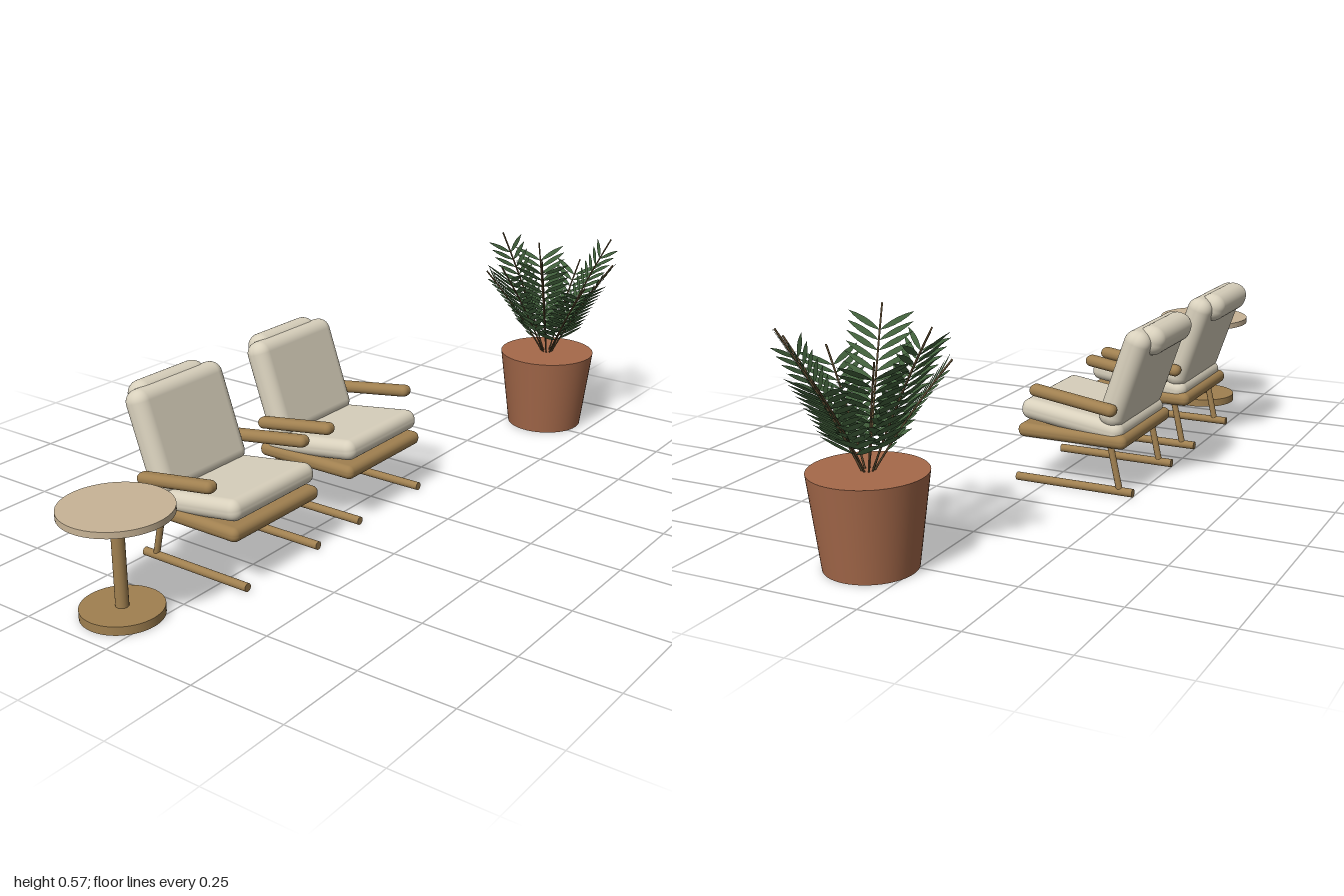
import * as THREE from 'three';
import { RoundedBoxGeometry } from 'three/addons/geometries/RoundedBoxGeometry.js';
import { mergeGeometries } from 'three/addons/utils/BufferGeometryUtils.js';

const paint = (color, side = THREE.FrontSide) => new THREE.MeshStandardMaterial({ color, side });
const wood = paint(0xa08050);
const tableWood = paint(0xc8b496);
const fabric = paint(0xd8d0bc);
const clay = paint(0xa5694a);
const stemBrown = paint(0x5c4a30);
const leafGreen = paint(0x42613c, THREE.DoubleSide);

function add(parent, name, geometry, material, x = 0, y = 0, z = 0, tilt = 0) {
  const mesh = new THREE.Mesh(geometry, material);
  mesh.name = name;
  mesh.position.set(x, y, z);
  mesh.rotation.x = tilt;
  parent.add(mesh);
  return mesh;
}

// Round rod between two points
function rod(parent, name, a, b, radius, material) {
  const from = new THREE.Vector3(...a), to = new THREE.Vector3(...b);
  const dir = to.clone().sub(from);
  const mid = from.add(to).multiplyScalar(0.5);
  const mesh = add(parent, name, new THREE.CylinderGeometry(radius, radius, dir.length(), 16), material, mid.x, mid.y, mid.z);
  mesh.quaternion.setFromUnitVectors(new THREE.Vector3(0, 1, 0), dir.normalize());
}

function createTable() {
  const table = new THREE.Group();
  table.name = 'sideTable';
  add(table, 'tableTop', new THREE.CylinderGeometry(0.135, 0.135, 0.016, 48), tableWood, 0, 0.264, 0);
  add(table, 'tableColumn', new THREE.CylinderGeometry(0.016, 0.016, 0.236, 24), wood, 0, 0.138, 0);
  add(table, 'tableBase', new THREE.CylinderGeometry(0.1, 0.1, 0.022, 48), wood, 0, 0.011, 0);
  return table;
}

function createChair() {
  const chair = new THREE.Group();
  chair.name = 'loungeChair';
  add(chair, 'seatFrame', new RoundedBoxGeometry(0.326, 0.037, 0.307, 4, 0.017), wood, 0, 0.146, -0.083);
  add(chair, 'seatCushion', new RoundedBoxGeometry(0.312, 0.055, 0.29, 5, 0.025), fabric, 0, 0.184, -0.078, -0.14);
  add(chair, 'backCushion', new RoundedBoxGeometry(0.312, 0.27, 0.07, 5, 0.032), fabric, 0, 0.307, -0.22, -0.33);
  add(chair, 'headPillow', new RoundedBoxGeometry(0.245, 0.076, 0.072, 5, 0.034), fabric, 0, 0.407, -0.278, -0.33);
  for (const side of [-1, 1]) {
    add(chair, 'armrest', new RoundedBoxGeometry(0.038, 0.031, 0.242, 4, 0.015), wood, side * 0.174, 0.25, -0.098, -0.143);
    rod(chair, 'backLeg', [side * 0.137, 0.011, -0.214], [side * 0.137, 0.14, -0.185], 0.0085, wood);
    rod(chair, 'floorRunner', [side * 0.137, 0.011, 0.082], [side * 0.137, 0.011, -0.251], 0.011, wood);
  }
  return chair;
}

// Pointed leaf blade along +x
function leafBlade(length, width) {
  const shape = new THREE.Shape();
  shape.moveTo(0, 0);
  shape.quadraticCurveTo(length * 0.45, width, length, 0);
  shape.quadraticCurveTo(length * 0.45, -width, 0, 0);
  return new THREE.ShapeGeometry(shape, 5);
}

// One frond: a slim stem with pairs of leaves
function createFrond(angle, tipHeight) {
  const frond = new THREE.Group();
  frond.name = 'frond';
  const out = new THREE.Vector3(Math.cos(angle), 0, Math.sin(angle));
  const across = new THREE.Vector3(-Math.sin(angle), 0, Math.cos(angle));
  const point = (r, y) => out.clone().multiplyScalar(r).setY(y);
  const curve = new THREE.QuadraticBezierCurve3(
    point(0.012, 0.222), point(0.09, 0.222 + (tipHeight - 0.222) * 0.52), point(0.191, tipHeight));
  add(frond, 'stem', new THREE.TubeGeometry(curve, 10, 0.0024, 6), stemBrown);

  const blades = [];
  const pairs = 11;
  for (let i = 0; i < pairs; i++) {
    const t = 0.2 + 0.63 * i / (pairs - 1);
    const base = curve.getPoint(t), along = curve.getTangent(t);
    for (const side of [-1, 1]) {
      const dir = across.clone().multiplyScalar(side * 0.85).addScaledVector(along, 0.52).normalize();
      const normal = new THREE.Vector3().crossVectors(across, along).normalize();
      if (normal.y < 0) normal.negate();
      const wide = new THREE.Vector3().crossVectors(normal, dir);
      const blade = leafBlade(0.09, 0.014);
      blade.applyMatrix4(new THREE.Matrix4().makeBasis(dir, wide, normal).setPosition(base));
      blades.push(blade);
    }
  }
  add(frond, 'leaves', mergeGeometries(blades), leafGreen);
  return frond;
}

function createPlant() {
  const plant = new THREE.Group();
  plant.name = 'pottedPlant';
  add(plant, 'pot', new THREE.CylinderGeometry(0.139, 0.11, 0.227, 48), clay, 0, 0.1135, 0);
  const tipHeights = [0.475, 0.565, 0.52];
  for (let i = 0; i < 9; i++) {
    plant.add(createFrond(i / 9 * Math.PI * 2, tipHeights[i % 3]));
  }
  return plant;
}

export function createModel() {
  const model = new THREE.Group();
  model.name = 'loungeSet';
  const table = createTable();
  table.position.set(-0.865, 0, -0.083);
  const plant = createPlant();
  plant.position.set(0.787, 0, 0.102);
  model.add(table, plant);
  for (const x of [-0.479, -0.026]) {
    const chair = createChair();
    chair.position.x = x;
    model.add(chair);
  }
  return model;
}
